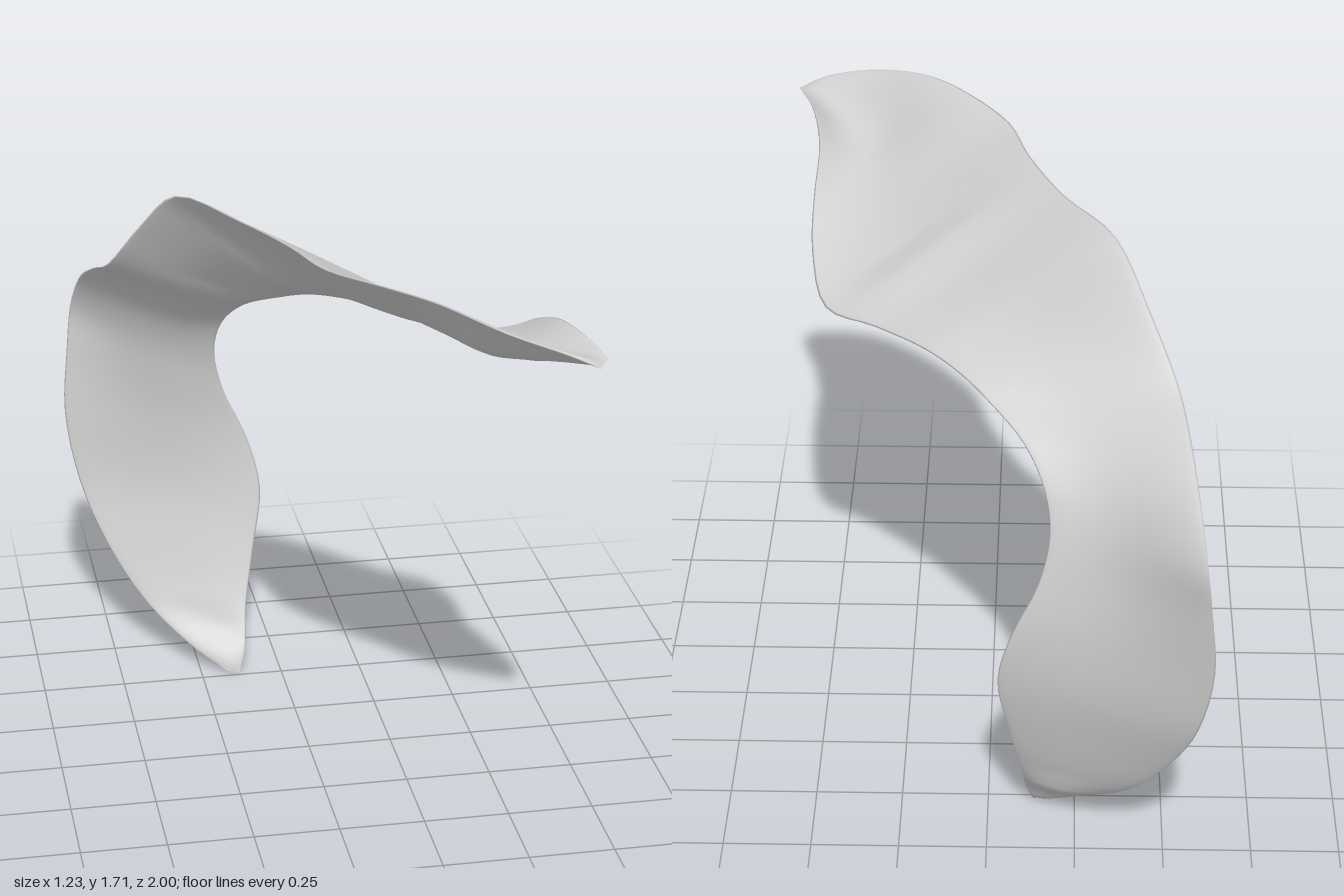
import * as THREE from 'three';

// Stations along the band: left edge xyz, right edge xyz, belly depth across
const STATIONS = [
  [-.17, .005, -.52, -.13, 0, -.515, 0],
  [-.26, .06, -.58, -.11, .06, -.54, 0],
  [-.40, .18, -.71, -.095, .18, -.61, 0],
  [-.51, .35, -.82, -.06, .36, -.67, .01],
  [-.58, .53, -.91, -.03, .55, -.71, .02],
  [-.615, .75, -.96, -.07, .72, -.735, .03],
  [-.60, .95, -.985, -.14, .88, -.735, .038],
  [-.585, 1.09, -.99, -.17, 1.02, -.71, .042],
  [-.565, 1.22, -.89, -.155, 1.13, -.66, .04],
  [-.54, 1.32, -.70, -.10, 1.22, -.57, .03],
  [-.51, 1.39, -.54, 0, 1.285, -.45, .025],
  [-.43, 1.55, -.40, .08, 1.32, -.36, .025],
  [-.345, 1.685, -.26, .18, 1.335, -.25, .025],
  [-.20, 1.69, 0, .33, 1.32, -.09, .02],
  [-.10, 1.695, .25, .475, 1.315, .03, .02],
  [-.04, 1.70, .46, .525, 1.4, .22, .045],
  [.08, 1.71, .64, .53, 1.49, .4, .08],
  [.20, 1.705, .78, .525, 1.57, .58, .105],
  [.35, 1.665, .92, .55, 1.615, .72, .085],
  [.50, 1.62, .985, .595, 1.605, .88, .03],
  [.58, 1.585, 1.0, .61, 1.59, .95, 0],
];
const HALF_THICKNESS = 0.012;

const left = new THREE.CatmullRomCurve3(STATIONS.map(s => new THREE.Vector3(s[0], s[1], s[2])));
const right = new THREE.CatmullRomCurve3(STATIONS.map(s => new THREE.Vector3(s[3], s[4], s[5])));
const belly = new THREE.CatmullRomCurve3(STATIONS.map(s => new THREE.Vector3(s[6], 0, 0)));

// Direction of the front / underside at u along and t across
function normalAt(u, t) {
  const along = (v) => left.getPoint(v).lerp(right.getPoint(v), t);
  const a = along(Math.min(1, u + 0.03)).sub(along(Math.max(0, u - 0.03)));
  const r = right.getPoint(u).sub(left.getPoint(u));
  return r.cross(a).normalize();
}

// Closed shell: each ring runs across the front, then back across the rear
function bandGeometry(rows, cols) {
  const positions = [], index = [], ring = cols * 2;
  for (let i = 0; i <= rows; i++) {
    const u = i / rows;
    const a = left.getPoint(u), b = right.getPoint(u), depth = belly.getPoint(u).x;
    const endTaper = Math.min(1, Math.sqrt(Math.min(u, 1 - u) * 30));
    for (let j = 0; j < ring; j++) {
      const k = j <= cols ? j : ring - j;
      const t = (1 - Math.cos(Math.PI * k / cols)) / 2;
      const side = j <= cols ? 1 : -1;
      const sag = depth * Math.sin(Math.PI * Math.pow(t, 1.4));
      const skin = side * HALF_THICKNESS * endTaper * Math.sqrt(Math.max(0, Math.sin(Math.PI * t)));
      const p = a.clone().lerp(b, t).addScaledVector(normalAt(u, t), sag + skin);
      positions.push(p.x, p.y, p.z);
      if (i < rows) {
        const p0 = i * ring + j, p1 = i * ring + (j + 1) % ring;
        index.push(p0, p1, p0 + ring, p1, p1 + ring, p0 + ring);
      }
    }
  }
  const g = new THREE.BufferGeometry();
  g.setAttribute('position', new THREE.Float32BufferAttribute(positions, 3));
  g.setIndex(index);
  g.computeVertexNormals();
  return g;
}

export function createModel() {
  const group = new THREE.Group();
  group.name = 'curvedBand';
  const paleGrey = new THREE.MeshStandardMaterial({ color: 0xd0d0d0 });
  paleGrey.name = 'paleGrey';
  const band = new THREE.Mesh(bandGeometry(80, 16), paleGrey);
  band.name = 'bentSheet';
  group.add(band);
  return group;
}
